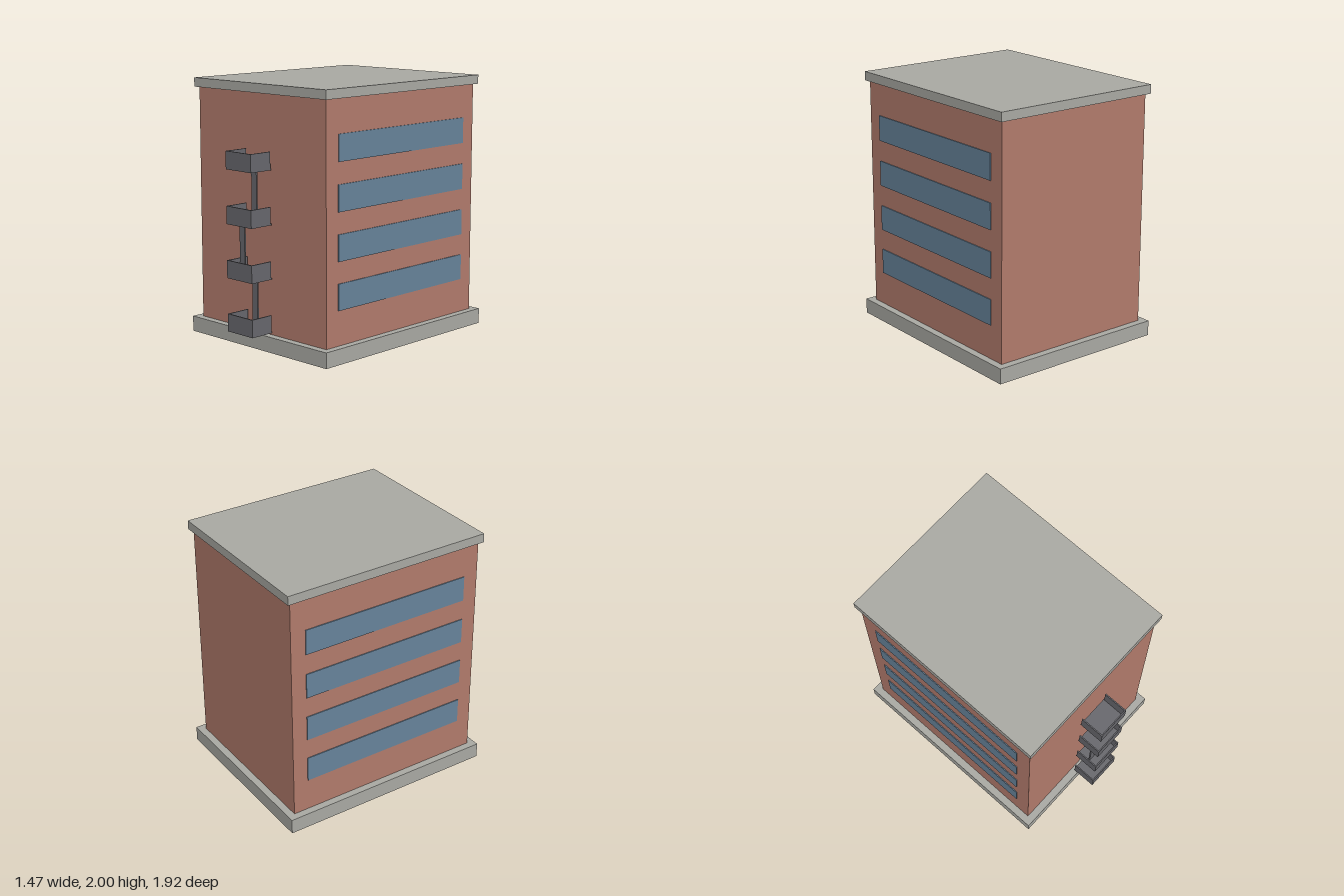
import * as THREE from 'three';

const material = (color) => new THREE.MeshStandardMaterial({ color });

export function createModel() {
  const model = new THREE.Group();
  model.name = 'building';
  const concrete = material(0xa8a8a2);
  const brick = material(0xb07a6b);
  const glass = material(0x668299);
  const steel = material(0x66666b);

  // Box given by its minimum and maximum on each axis
  function box(name, mat, [x0, x1], [y0, y1], [z0, z1], parent = model) {
    const mesh = new THREE.Mesh(new THREE.BoxGeometry(x1 - x0, y1 - y0, z1 - z0), mat);
    mesh.position.set((x0 + x1) / 2, (y0 + y1) / 2, (z0 + z1) / 2);
    mesh.name = name;
    parent.add(mesh);
  }

  // Main block
  box('plinth', concrete, [-0.735, 0.735], [0, 0.12], [-0.96, 0.797]);
  box('walls', brick, [-0.678, 0.678], [0.12, 1.93], [-0.902, 0.739]);
  box('roofSlab', concrete, [-0.705, 0.705], [1.93, 2], [-0.932, 0.768]);

  // Ribbon windows on both long sides, one per floor
  for (let i = 0; i < 4; i++) {
    const y = 0.385 + i * 0.3635;
    box('leftWindow', glass, [0.67, 0.685], [y, y + 0.2], [-0.78, 0.617]);
    box('rightWindow', glass, [-0.685, -0.67], [y, y + 0.2], [-0.78, 0.617]);
  }

  // Fire escape: landings with railings on three sides, joined by ladders
  const fireEscape = new THREE.Group();
  fireEscape.name = 'fireEscape';
  model.add(fireEscape);
  const t = 0.01;
  for (let i = 0; i < 4; i++) {
    const y = 0.143 + i * 0.41;
    const floor = y + 0.012;
    const rail = [floor, y + 0.137];
    box('landing', steel, [-0.135, 0.135], [y, floor], [0.762, 0.96], fireEscape);
    box('frontRailing', steel, [-0.135, 0.135], rail, [0.962 - t, 0.962], fireEscape);
    box('leftRailing', steel, [0.135 - t, 0.135], rail, [0.768, 0.962 - t], fireEscape);
    box('rightRailing', steel, [-0.135, -0.135 + t], rail, [0.768, 0.962 - t], fireEscape);
    if (i < 3) {
      const x = i % 2 ? -0.067 : 0.067; // ladders alternate sides
      box('ladder', steel, [x - 0.027, x + 0.027], [floor, y + 0.41], [0.858, 0.87], fireEscape);
    }
  }
  return model;
}
